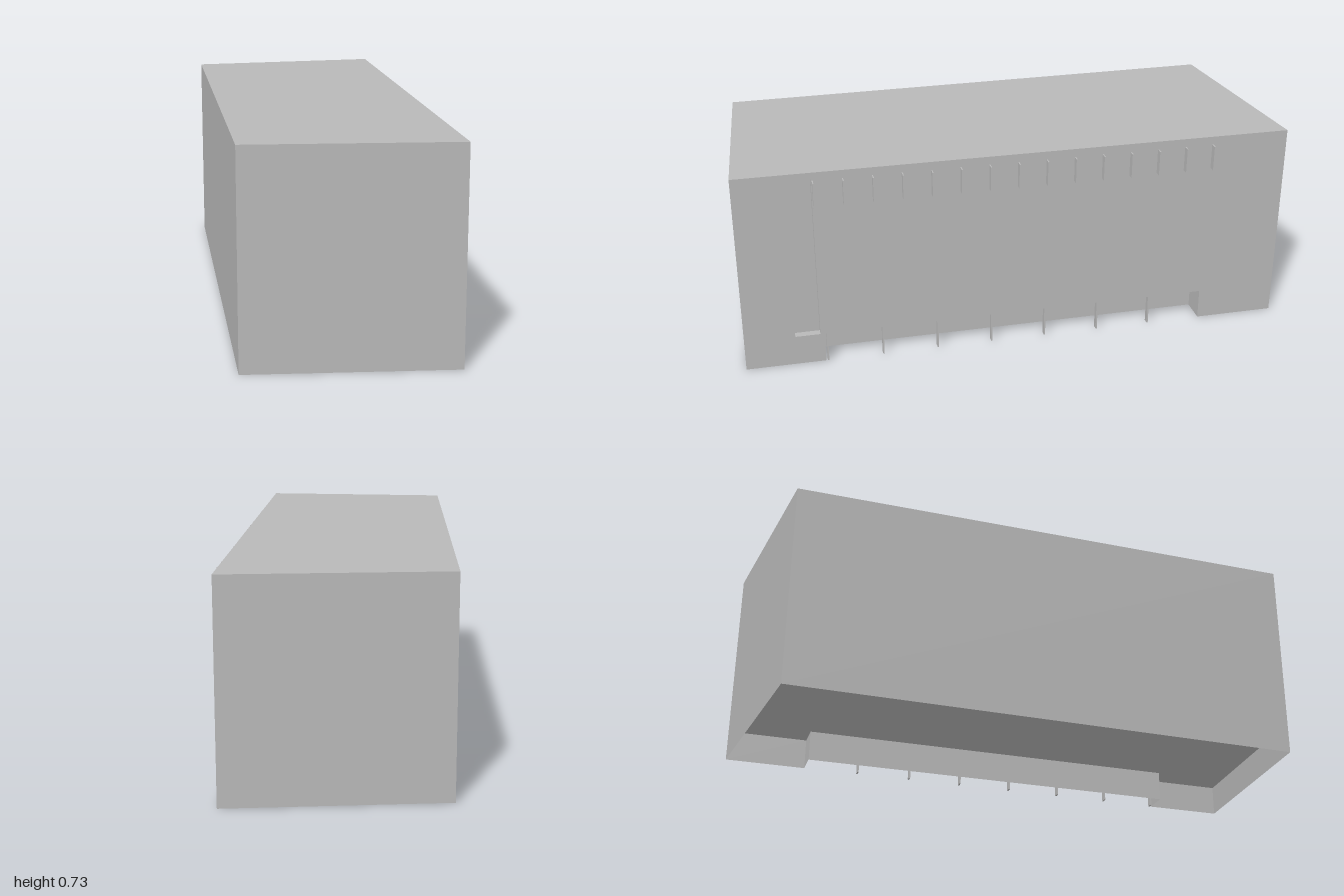
import * as THREE from 'three';

const H = 0.73, FLOOR = 0.11;
// footprint corners as [x, z]
const backLeft = [0.6, -0.885], frontLeft = [0.07, 1.0];
const frontRight = [-0.6, 0.765], backRight = [-0.13, -1.0];

export function createModel() {
  const model = new THREE.Group();
  const grey = new THREE.MeshStandardMaterial({ color: 0xb8b8b8, side: THREE.DoubleSide });
  grey.name = 'concrete grey';

  const add = (parent, name, geometry) => {
    const mesh = new THREE.Mesh(geometry, grey);
    mesh.name = name;
    parent.add(mesh);
    return mesh;
  };

  // upright sheet along a path of [x, z] points
  const sheet = (parent, name, path, y0, y1) => {
    const pos = [];
    for (let i = 0; i < path.length - 1; i++) {
      const [ax, az] = path[i], [bx, bz] = path[i + 1];
      pos.push(ax, y0, az, bx, y0, bz, bx, y1, bz, ax, y0, az, bx, y1, bz, ax, y1, az);
    }
    const g = new THREE.BufferGeometry();
    g.setAttribute('position', new THREE.Float32BufferAttribute(pos, 3));
    g.computeVertexNormals();
    return add(parent, name, g);
  };

  // level sheet from a polygon of [x, z] points
  const slab = (parent, name, pts, y) => {
    const shape = new THREE.Shape(pts.map(([x, z]) => new THREE.Vector2(x, z)));
    const g = new THREE.ShapeGeometry(shape).rotateX(Math.PI / 2).translate(0, y, 0);
    return add(parent, name, g);
  };

  // facade frame: local x runs backwards along the wall, local z points outwards
  const dx = backLeft[0] - frontLeft[0], dz = backLeft[1] - frontLeft[1];
  const L = Math.hypot(dx, dz), ux = dx / L, uz = dz / L;
  const toWorld = ([s, n]) => [frontLeft[0] + s * ux - n * uz, frontLeft[1] + s * uz + n * ux];
  const facade = new THREE.Group();
  facade.name = 'facade';
  facade.position.set(frontLeft[0], 0, frontLeft[1]);
  facade.rotation.y = Math.atan2(-dz, dx);
  model.add(facade);

  // facade wall with the arcade notch and the tall niche cut out
  const a0 = 0.28, a1 = 1.672, depth = 0.093;
  const n0 = 0.177, n1 = 0.265, niche = 0.027, nicheTop = 0.705;
  const wall = new THREE.Shape([[0, 0], [a0, 0], [a0, FLOOR], [a1, FLOOR], [a1, 0], [L, 0], [L, H], [0, H]]
    .map(([x, y]) => new THREE.Vector2(x, y)));
  wall.holes.push(new THREE.Path([[n0, FLOOR], [n0, nicheTop], [n1, nicheTop], [n1, FLOOR]]
    .map(([x, y]) => new THREE.Vector2(x, y))));
  add(facade, 'facadeWall', new THREE.ShapeGeometry(wall));

  // recessed niche
  const nichePath = [[n0, 0], [n0, -niche], [n1, -niche], [n1, 0]];
  sheet(facade, 'nicheLining', nichePath, FLOOR, nicheTop);
  slab(facade, 'nicheSill', nichePath, FLOOR);
  slab(facade, 'nicheHead', nichePath, nicheTop);

  // recessed arcade at ground level
  const arcade = [[a0, 0], [a0, -depth], [a1, -depth], [a1, 0]];
  sheet(facade, 'arcadeLining', arcade, 0, FLOOR);

  // arcade posts
  for (let i = 0; i < 7; i++) {
    add(facade, 'arcadePost', new THREE.BoxGeometry(0.005, FLOOR, 0.02))
      .position.set(0.288 + i * 0.1977, FLOOR / 2, -0.01);
  }

  // row of upright fins under the roof edge
  for (let i = 0; i < 15; i++) {
    add(facade, 'upperFin', new THREE.BoxGeometry(0.004, 0.09, 0.025))
      .position.set(0.27 + i * 0.1006, 0.656, 0.0125);
  }

  // plain walls
  sheet(model, 'frontWall', [frontRight, frontLeft], 0, H);
  sheet(model, 'rightWall', [backRight, frontRight], 0, H);
  sheet(model, 'backWall', [backLeft, backRight], 0, H);

  // roof, and raised floor cut around the arcade
  slab(model, 'roof', [frontLeft, backLeft, backRight, frontRight], H);
  slab(model, 'floor', [frontLeft, ...arcade.map(toWorld), backLeft, backRight, frontRight], FLOOR);

  return model;
}
